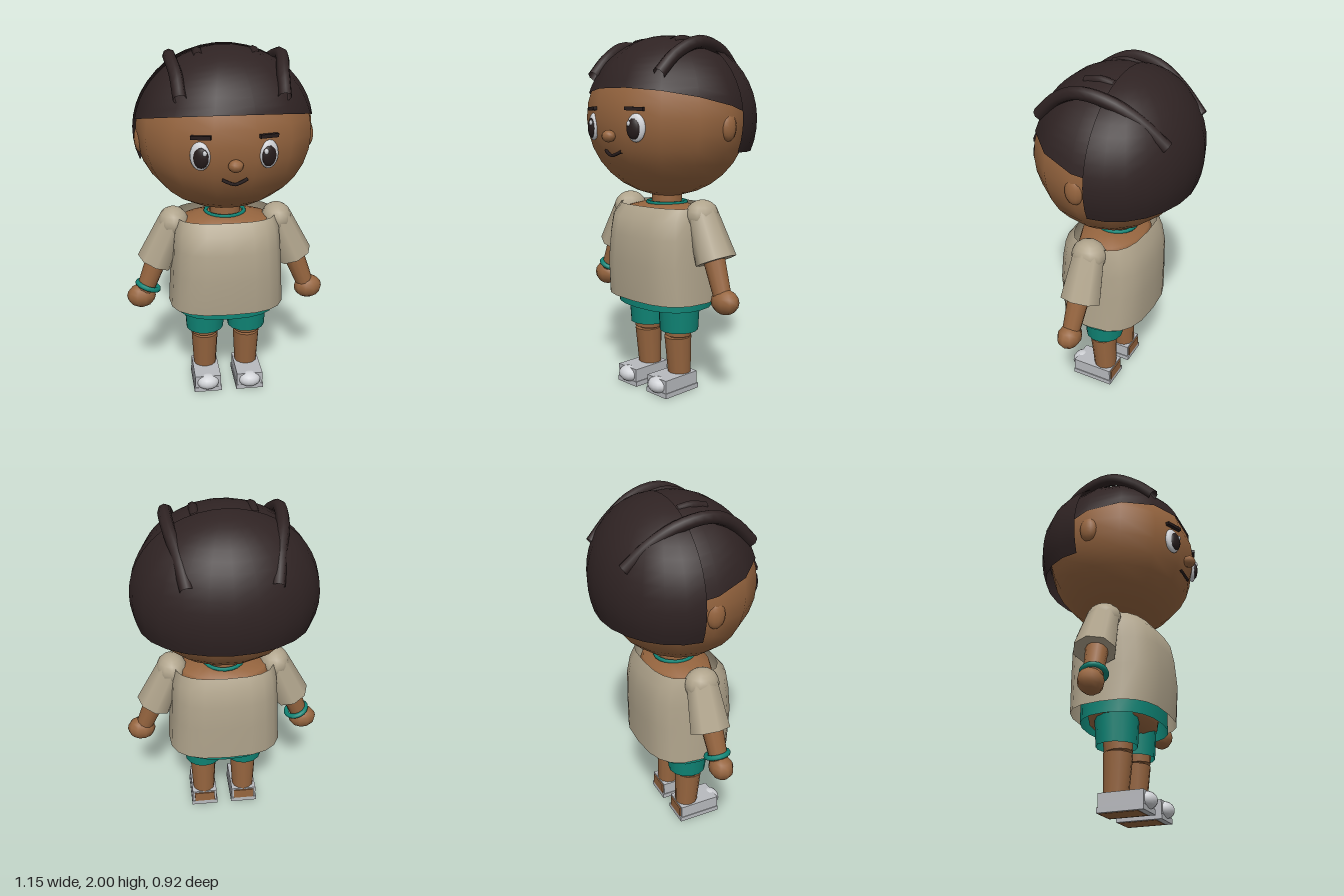
import * as THREE from 'three';
import { mergeVertices } from 'three/addons/utils/BufferGeometryUtils.js';

const flat = (name, color, side = THREE.FrontSide) => {
  const m = new THREE.MeshStandardMaterial({ color, side });
  m.name = name;
  return m;
};
const V = (x, y, z) => new THREE.Vector3(x, y, z);

export function createModel() {
  const model = new THREE.Group();
  model.name = 'figure';
  const skin = flat('skin', 0x96653f);
  const hair = flat('hair', 0x2f2323, THREE.DoubleSide);
  const cloth = flat('beige cloth', 0xb0a48c, THREE.DoubleSide);
  const teal = flat('teal cloth', 0x0f8475, THREE.DoubleSide);
  const white = flat('white', 0xd0d2d6);
  const grey = flat('shoe grey', 0xb8babe);
  const dark = flat('dark', 0x251b1b);

  const add = (name, geo, mat, x = 0, y = 0, z = 0) => {
    const mesh = new THREE.Mesh(geo, mat);
    mesh.name = name;
    mesh.position.set(x, y, z);
    model.add(mesh);
    return mesh;
  };
  const ball = (name, mat, p, r, ws = 14, hs = 10) =>
    add(name, new THREE.SphereGeometry(1, ws, hs).scale(...r), mat, ...p);
  const box = (name, mat, p, s) => add(name, new THREE.BoxGeometry(...s), mat, ...p);
  // tapered round limb between two points
  const limb = (name, mat, a, b, ra, rb, sides = 12, open = false) => {
    const mesh = add(name, new THREE.CylinderGeometry(ra, rb, a.distanceTo(b), sides, 1, open), mat);
    mesh.position.copy(a).lerp(b, 0.5);
    mesh.quaternion.setFromUnitVectors(V(0, 1, 0), a.clone().sub(b).normalize());
    return mesh;
  };
  const tube = (name, mat, pts, r, steps = 16, sides = 8) =>
    add(name, new THREE.TubeGeometry(new THREE.CatmullRomCurve3(pts), steps, r, sides), mat);
  // smooth surface over rows (downward) and columns (front towards +x)
  const surface = (rows, cols, point) => {
    const pos = [], idx = [];
    for (let i = 0; i <= rows; i++)
      for (let j = 0; j <= cols; j++) pos.push(...point(i, j));
    for (let i = 0; i < rows; i++)
      for (let j = 0; j < cols; j++) {
        const a = i * (cols + 1) + j, b = a + cols + 1;
        idx.push(a, b, a + 1, b, b + 1, a + 1);
      }
    let g = new THREE.BufferGeometry();
    g.setAttribute('position', new THREE.Float32BufferAttribute(pos, 3));
    g.setIndex(idx);
    g = mergeVertices(g, 1e-5);
    g.computeVertexNormals();
    return g;
  };

  // head
  ball('head', skin, [0, 1.55, 0], [0.487, 0.44, 0.425], 14, 16);
  ball('nose', skin, [0, 1.457, 0.425], [0.04, 0.033, 0.036], 10, 8);

  // front hair cap, trimmed by a plane sloping down to the back
  const cy = 1.54, ry = 0.46, slope = 0.234, edge = 1.614;
  add('hairCap', surface(12, 14, (i, j) => {
    const phi = Math.PI / 2 + (j / 14) * Math.PI * 2;
    const k = slope * 0.437 * Math.cos(phi);
    const end = Math.acos((edge - cy) / Math.hypot(ry, k)) - Math.atan2(k, ry);
    const t = (end * i) / 12, s = Math.sin(t);
    return [0.495 * s * Math.sin(phi), cy + ry * Math.cos(t), 0.437 * s * Math.cos(phi)];
  }), hair);

  // back hair, a half shell with a level lower edge
  const backEnd = Math.acos((1.37 - cy) / ry);
  add('hairBack', surface(14, 12, (i, j) => {
    const phi = Math.PI / 2 + (j / 12) * Math.PI;
    const t = (backEnd * i) / 14, s = Math.sin(t);
    return [0.502 * s * Math.sin(phi), cy + ry * Math.cos(t), -0.07 + 0.392 * s * Math.cos(phi)];
  }), hair);

  // loose locks, ears and face, mirrored
  for (const s of [-1, 1]) {
    tube('longLock', hair, [V(s * 0.265, 1.775, 0.31), V(s * 0.275, 1.88, 0.2), V(s * 0.295, 1.945, 0.06),
      V(s * 0.285, 1.925, -0.1), V(s * 0.25, 1.84, -0.25), V(s * 0.22, 1.72, -0.38)], 0.035, 18);
    tube('shortLock', hair, [V(s * 0.15, 1.95, 0.1), V(s * 0.15, 1.967, 0.02), V(s * 0.15, 1.955, -0.06)], 0.026, 6);
    ball('ear', skin, [s * 0.462, 1.505, 0], [0.035, 0.075, 0.052], 12, 10);

    const yaw = s * 0.38;
    ball('eyeWhite', white, [s * 0.175, 1.503, 0.385], [0.054, 0.074, 0.025]).rotation.y = yaw;
    ball('pupil', dark, [s * 0.173, 1.498, 0.4], [0.041, 0.055, 0.02]).rotation.y = yaw;
    ball('eyeGlint', white, [s * 0.155, 1.525, 0.42], [0.012, 0.015, 0.008], 8, 6);
    const brow = box('brow', dark, [s * 0.17, 1.6, 0.39], [0.105, 0.019, 0.03]);
    brow.rotation.set(0, yaw, -s * 0.04);
  }
  tube('mouth', dark, [V(-0.065, 1.377, 0.39), V(-0.035, 1.364, 0.398), V(0, 1.354, 0.402),
    V(0.035, 1.364, 0.398), V(0.065, 1.377, 0.39)], 0.009, 12, 6);

  // neck and torso
  add('neck', new THREE.CylinderGeometry(0.085, 0.09, 0.16, 14), skin, 0, 1.1, 0);
  const torso = [[0, 0.46], [0.15, 0.47], [0.25, 0.51], [0.27, 0.6], [0.27, 1.0], [0.25, 1.045], [0.15, 1.07], [0, 1.08]];
  add('torso', new THREE.LatheGeometry(torso.map(p => new THREE.Vector2(...p)), 18).scale(1, 1, 0.7), skin, 0, 0, 0.01);
  add('necklace', new THREE.TorusGeometry(0.11, 0.011, 6, 20).rotateX(Math.PI / 2), teal, 0, 1.074, 0);

  // shirt from rounded cross-sections: height, half width, front, back
  const round = (v, e) => Math.sign(v) * Math.abs(v) ** e;
  const loft = (rings, cols, e) => surface(rings.length - 1, cols, (i, j) => {
    const [y, rx, zf, zb] = rings[i], a = (j / cols) * Math.PI * 2;
    return [rx * round(Math.sin(a), e), y, (zf + zb) / 2 + ((zf - zb) / 2) * round(Math.cos(a), e)];
  });
  add('shirt', loft([[1.065, 0.285, 0.2, -0.19], [1.0, 0.303, 0.257, -0.222], [0.9, 0.312, 0.277, -0.243],
    [0.75, 0.32, 0.29, -0.245], [0.54, 0.332, 0.272, -0.24]], 20, 0.72), cloth);

  // shorts
  add('waistband', loft([[0.6, 0.29, 0.235, -0.2], [0.492, 0.29, 0.235, -0.2]], 20, 0.85), teal);
  for (const s of [-1, 1]) {
    limb('shortsLeg', teal, V(s * 0.125, 0.53, 0.025), V(s * 0.124, 0.354, 0.024), 0.121, 0.111, 14, true);

    // legs
    limb('upperLeg', skin, V(s * 0.125, 0.5, 0.025), V(s * 0.127, 0.322, 0.035), 0.09, 0.076);
    limb('lowerLeg', skin, V(s * 0.125, 0.316, 0.032), V(s * 0.125, 0.06, 0.018), 0.079, 0.065);
    limb('knee', skin, V(s * 0.125, 0.34, 0.02), V(s * 0.125, 0.3, 0.02), 0.065, 0.065);

    // shoes with an open heel
    box('shoeUpper', grey, [s * 0.125, 0.066, 0.077], [0.152, 0.074, 0.246]);
    box('shoeSole', grey, [s * 0.125, 0.016, 0.075], [0.162, 0.028, 0.256]);
    box('heel', skin, [s * 0.125, 0.062, -0.03], [0.125, 0.062, 0.048]);
    box('soleBase', skin, [s * 0.125, 0.003, 0.06], [0.135, 0.006, 0.215]);
    ball('shoeToe', white, [s * 0.125, 0.062, 0.19], [0.066, 0.045, 0.052]);

    // sleeves and arms
    const top = V(s * 0.3, 1.03, 0.02), cuff = V(s * 0.405, 0.79, 0.02);
    ball('shoulder', cloth, [s * 0.297, 1.025, 0.02], [0.088, 0.088, 0.1], 12, 10);
    limb('sleeve', cloth, top, cuff, 0.083, 0.107, 8).scale.z = 1.12;
    limb('arm', skin, V(s * 0.36, 0.9, 0.025), V(s * 0.475, 0.61, 0.045), 0.067, 0.05);
    ball('hand', skin, [s * 0.493, 0.585, 0.045], [0.083, 0.069, 0.067], 10, 8);
  }

  // bracelet on the right wrist
  const band = add('bracelet', new THREE.TorusGeometry(0.062, 0.015, 8, 18), teal, -0.452, 0.645, 0.042);
  band.quaternion.setFromUnitVectors(V(0, 0, 1), V(0.115, 0.29, -0.02).normalize());

  return model;
}
